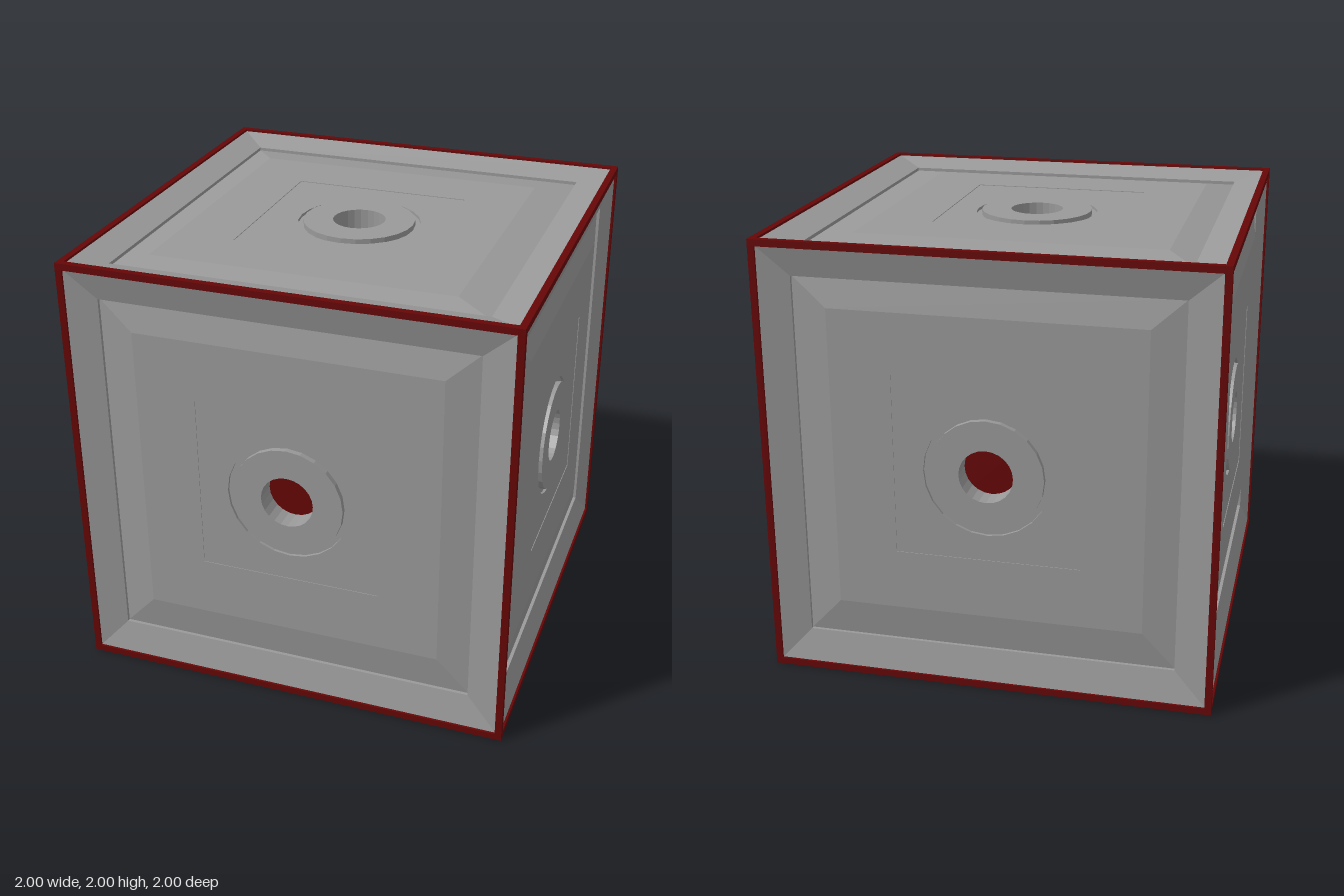
import * as THREE from 'three';

const grey = new THREE.MeshStandardMaterial({ color: 0x999999, flatShading: true });
const smoothGrey = new THREE.MeshStandardMaterial({ color: 0x999999 });
const red = new THREE.MeshStandardMaterial({ color: 0x660606, flatShading: true });

function part(name, geometry, material) {
  const mesh = new THREE.Mesh(geometry, material);
  mesh.name = name;
  return mesh;
}

// Corners of a square of half size s at height z, shifted by (ox, oy)
function square([s, z, ox = 0, oy = 0]) {
  return [[-1, -1], [1, -1], [1, 1], [-1, 1]].map(([x, y]) => [x * s + ox, y * s + oy, z]);
}

// Concentric square loops joined from the outside inwards
function squareBands(loops) {
  const positions = [];
  for (let k = 0; k < loops.length - 1; k++) {
    const a = square(loops[k]), b = square(loops[k + 1]);
    for (let i = 0; i < 4; i++) {
      const j = (i + 1) % 4;
      positions.push(...a[i], ...a[j], ...b[j], ...a[i], ...b[j], ...b[i]);
    }
  }
  const geometry = new THREE.BufferGeometry();
  geometry.setAttribute('position', new THREE.Float32BufferAttribute(positions, 3));
  geometry.computeVertexNormals();
  return geometry;
}

// One side of the cube, facing local +z; (ox, oy) shifts the raised panel, cy the ring
function createFace(name, ox, oy, cy) {
  const face = new THREE.Group();
  face.name = name;
  const cx = -0.004, half = 0.411, squareZ = 0.962, ringZ = 0.948;

  // Sloping surround, shallow groove, raised panel and sunken square
  face.add(part('panel', squareBands([
    [0.97, 0.99],
    [0.833, 0.955, cx, cy],
    [0.833, 0.94, cx, cy],
    [0.685, 0.965, ox, oy],
    [half, 0.965, ox, oy],
    [half, squareZ, ox, oy],
  ]), grey));

  // Floor of the square, dipping gently towards the ring
  const outline = new THREE.Shape(square([half, 0, ox, oy]).map(([x, y]) => new THREE.Vector2(x, y)));
  outline.holes.push(new THREE.Path().absarc(cx, cy, 0.28, 0, Math.PI * 2, true));
  const floor = new THREE.ShapeGeometry(outline, 12);
  const p = floor.attributes.position;
  for (let i = 0; i < p.count; i++) {
    const onRing = Math.hypot(p.getX(i) - cx, p.getY(i) - cy) < 0.3;
    p.setZ(i, onRing ? ringZ : squareZ);
  }
  face.add(part('squareFloor', floor, smoothGrey));

  // Ring standing in a narrow round channel, with a deep hole
  const profile = [[0.28, ringZ], [0.28, 0.935], [0.255, 0.935], [0.255, 0.96], [0.12, 0.96], [0.12, 0.85]];
  const ring = part('ring', new THREE.LatheGeometry(profile.map(q => new THREE.Vector2(...q)), 24), grey);
  ring.rotation.x = Math.PI / 2;
  ring.position.set(cx, cy, 0);
  face.add(ring);
  return face;
}

export function createModel() {
  const model = new THREE.Group();
  model.name = 'panelledCube';
  const cube = new THREE.Group();
  cube.name = 'cube';
  cube.position.y = 1;
  model.add(cube);

  // Core seen at the bottom of the holes
  cube.add(part('core', new THREE.BoxGeometry(1.72, 1.72, 1.72), red));

  // Twelve edge bars
  const w = 0.03, c = 1 - w / 2;
  for (let axis = 0; axis < 3; axis++) {
    for (const a of [-c, c]) {
      for (const b of [-c, c]) {
        const size = [w, w, w];
        size[axis] = 2;
        const at = [0, 0, 0];
        at[(axis + 1) % 3] = a;
        at[(axis + 2) % 3] = b;
        const bar = part('edgeBar', new THREE.BoxGeometry(...size), red);
        bar.position.set(...at);
        cube.add(bar);
      }
    }
  }

  // Six sides: name, turn about x and y, shift of the raised panel, height of the ring
  const q = Math.PI / 2;
  const sides = [
    ['frontFace', 0, 0, 0, 0.028, 0.008],
    ['leftFace', 0, q, 0, 0.028, 0.008],
    ['backFace', 0, 2 * q, 0, 0.028, 0.008],
    ['rightFace', 0, -q, 0, 0.028, 0.008],
    ['topFace', -q, 0, -0.025, -0.025, 0],
    ['bottomFace', q, 0, 0, 0, 0],
  ];
  for (const [name, rx, ry, ox, oy, cy] of sides) {
    const face = createFace(name, ox, oy, cy);
    face.rotation.set(rx, ry, 0);
    cube.add(face);
  }
  return model;
}
